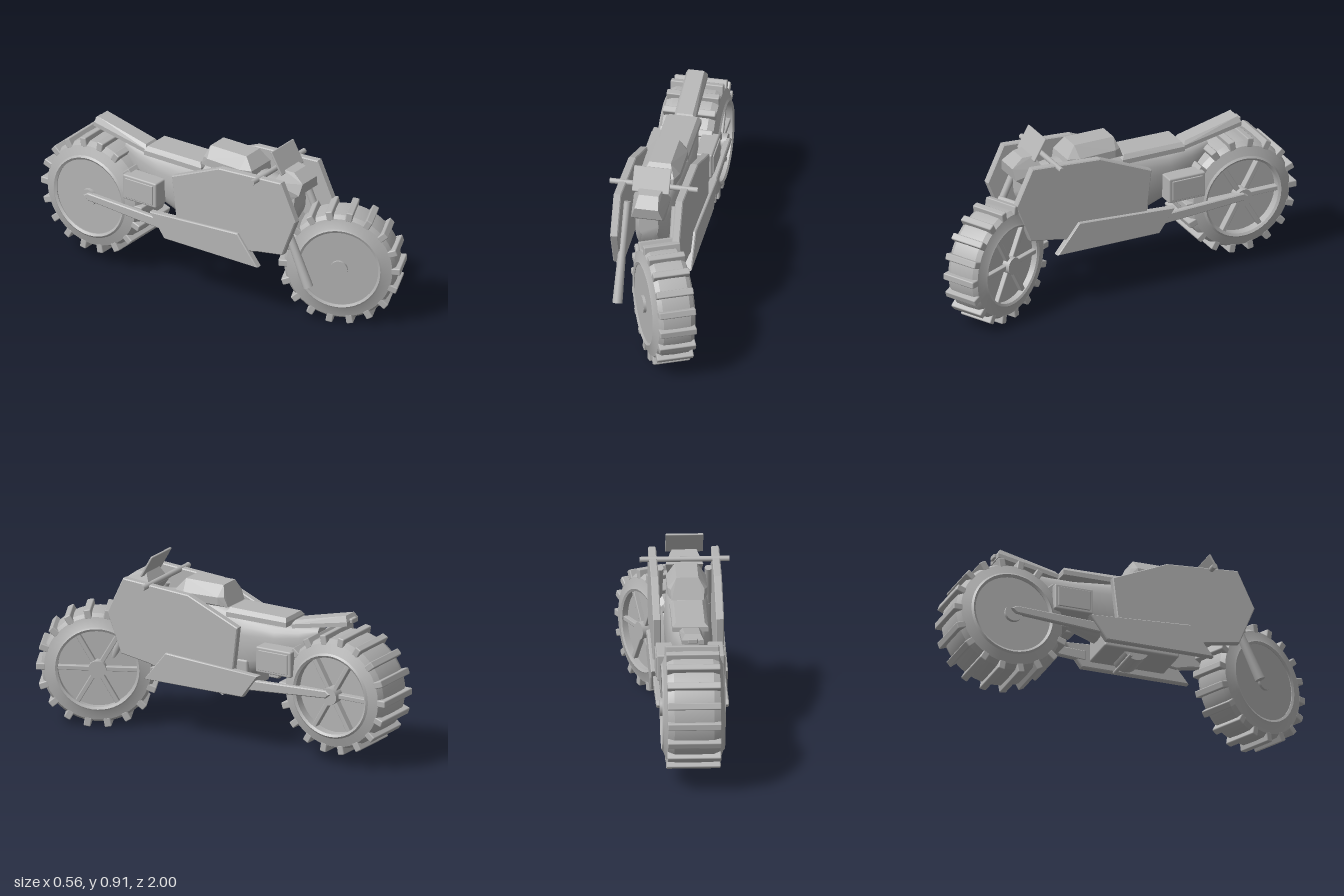
import * as THREE from 'three';
import { toCreasedNormals } from 'three/addons/utils/BufferGeometryUtils.js';
import { RoundedBoxGeometry } from 'three/addons/geometries/RoundedBoxGeometry.js';
import { ConvexGeometry } from 'three/addons/geometries/ConvexGeometry.js';

const V = (x, y, z) => new THREE.Vector3(x, y, z);

export function createModel() {
  const grey = new THREE.MeshStandardMaterial({ color: 0xb4b4b4 });
  const model = new THREE.Group();
  const bike = new THREE.Group();
  bike.name = 'frame';
  bike.position.x = -0.055;
  model.add(bike);

  const add = (parent, name, geo, x = 0, y = 0, z = 0) => {
    const mesh = new THREE.Mesh(geo, grey);
    mesh.name = name;
    mesh.position.set(x, y, z);
    parent.add(mesh);
    return mesh;
  };
  const box = (w, h, d, r = 0.006) => new RoundedBoxGeometry(w, h, d, 1, r);
  const axle = (r, len, sides = 24) => new THREE.CylinderGeometry(r, r, len, sides).rotateZ(-Math.PI / 2);

  // Round bar between two points
  const bar = (name, a, b, r0, r1 = r0) => {
    const dir = b.clone().sub(a);
    const mesh = add(bike, name, new THREE.CylinderGeometry(r1, r0, dir.length(), 16));
    mesh.position.copy(a).add(b).multiplyScalar(0.5);
    mesh.quaternion.setFromUnitVectors(V(0, 1, 0), dir.normalize());
    return mesh;
  };

  // Faceted block from mirrored points [halfWidth, y, z]
  const hull = (name, pts) => add(bike, name,
    new ConvexGeometry(pts.flatMap(([x, y, z]) => [V(x, y, z), V(-x, y, z)])));

  // Flat plate with outline [z, y], extruded across x
  const plate = (name, pts, x, thick) => {
    const bevel = 0.005;
    const shape = new THREE.Shape(pts.map(([z, y]) => new THREE.Vector2(-z, y)));
    const geo = new THREE.ExtrudeGeometry(shape, {
      depth: thick - 2 * bevel, bevelThickness: bevel, bevelSize: bevel, bevelOffset: -bevel, bevelSegments: 1,
    });
    geo.translate(0, 0, bevel - thick / 2).rotateY(Math.PI / 2);
    return add(bike, name, geo, x);
  };

  // Wheel with a knobbly tyre, plain disc on the right, spokes on the left
  const wheel = (name, w) => {
    const g = new THREE.Group();
    g.name = name;
    const profile = [[0.2, -0.15], [0.212, -0.158], [0.222, -0.15], [0.27, -0.132], [0.285, -0.1], [0.288, 0],
      [0.285, 0.1], [0.27, 0.132], [0.222, 0.15], [0.212, 0.158], [0.2, 0.15], [0.2, -0.15]];
    const tyre = new THREE.LatheGeometry(profile.map(([r, y]) => new THREE.Vector2(r, y * w)), 48);
    add(g, 'tyre', toCreasedNormals(tyre.rotateZ(-Math.PI / 2), 0.3));
    add(g, 'wheelDisc', axle(0.2, 0.25 * w, 48), -0.02 * w);
    add(g, 'hub', axle(0.045, 0.33 * w));
    for (let i = 0; i < 18; i++) {
      const a = (i * Math.PI) / 9;
      const knob = add(g, 'tread', box(0.27 * w, 0.05, 0.036),
        0, Math.sin(a) * 0.286, Math.cos(a) * 0.286);
      knob.rotation.x = Math.PI / 2 - a;
    }
    for (let i = 0; i < 6; i++) {
      const a = (i * Math.PI) / 3;
      const spoke = add(g, 'spoke', box(0.04 * w, 0.17, 0.024, 0.004),
        0.12 * w, Math.sin(a) * 0.12, Math.cos(a) * 0.12);
      spoke.rotation.x = Math.PI / 2 - a;
    }
    return g;
  };

  const rear = wheel('rearWheel', 1);
  rear.position.set(0, 0.372, -0.689);
  bike.add(rear);
  const front = wheel('frontWheel', 0.7);
  front.position.set(0.06, 0.306, 0.68);
  front.rotation.y = 0.44;
  model.add(front);

  // Body shell lofted along z from [z, halfWidth, bottom, top]
  const rings = [[0.5, 0.05, 0.56, 0.69], [0.44, 0.08, 0.46, 0.71], [0.3, 0.1, 0.4, 0.73], [0.1, 0.115, 0.34, 0.74],
    [-0.15, 0.105, 0.36, 0.675], [-0.32, 0.09, 0.42, 0.66], [-0.45, 0.065, 0.47, 0.665], [-0.55, 0.04, 0.56, 0.675]];
  const sides = 20, pos = [], idx = [];
  const soft = (t) => Math.sign(t) * Math.abs(t) ** 0.7;
  rings.forEach(([z, w, lo, hi], r) => {
    for (let s = 0; s < sides; s++) {
      const a = (s / sides) * Math.PI * 2;
      pos.push(w * soft(Math.cos(a)), (lo + hi) / 2 + ((hi - lo) / 2) * soft(Math.sin(a)), z);
      const p = r * sides + s, q = r * sides + ((s + 1) % sides);
      if (r < rings.length - 1) idx.push(p, q, p + sides, q, q + sides, p + sides);
    }
  });
  const last = (rings.length - 1) * sides;
  for (let s = 1; s < sides - 1; s++) {
    idx.push(0, s, s + 1, last, last + s + 1, last + s);
  }
  // Loft runs toward -z, so the side quads are flipped to face out
  for (let i = 0; i < (rings.length - 1) * sides * 6; i += 3) {
    [idx[i + 1], idx[i + 2]] = [idx[i + 2], idx[i + 1]];
  }
  const shell = new THREE.BufferGeometry();
  shell.setAttribute('position', new THREE.Float32BufferAttribute(pos, 3));
  shell.setIndex(idx);
  add(bike, 'bodyShell', toCreasedNormals(shell, 0.7));

  // Tank, headlight and seats
  hull('fuelTank', [
    [0.075, 0.7, 0.27], [0.1, 0.72, 0.18], [0.1, 0.72, 0], [0.08, 0.71, -0.05],
    [0.08, 0.755, 0.26], [0.1, 0.755, 0.2], [0.1, 0.76, 0], [0.085, 0.76, -0.03],
    [0.055, 0.815, 0.21], [0.055, 0.815, -0.01],
  ]);
  hull('headlight', [
    [0.06, 0.81, 0.44], [0.095, 0.74, 0.4], [0.08, 0.66, 0.45],
    [0.05, 0.805, 0.5], [0.08, 0.7, 0.55], [0.06, 0.76, 0.56], [0.075, 0.655, 0.49],
  ]);
  hull('seat', [
    [0.09, 0.665, -0.045], [0.09, 0.665, -0.395], [0.09, 0.69, -0.045], [0.09, 0.69, -0.395],
    [0.072, 0.713, -0.06], [0.072, 0.71, -0.385],
  ]);
  hull('rearSeat', [
    [0.055, 0.655, -0.41], [0.055, 0.675, -0.405], [0.04, 0.697, -0.42],
    [0.055, 0.718, -0.73], [0.055, 0.74, -0.73], [0.04, 0.768, -0.715],
  ]);
  add(bike, 'tailLight', box(0.05, 0.025, 0.02), 0, 0.738, -0.733);

  // Windscreen and handlebar
  const screen = add(bike, 'windscreen', box(0.19, 0.13, 0.012, 0.004), 0, 0.848, 0.42);
  screen.rotation.x = -0.52;
  add(bike, 'handlebar', axle(0.014, 0.45, 12), 0, 0.78, 0.365);

  // Engine
  add(bike, 'engineBlock', box(0.22, 0.16, 0.4, 0.01), 0, 0.38, 0.02);
  add(bike, 'sump', axle(0.07, 0.16, 24), 0, 0.332, 0);
  add(bike, 'footPeg', axle(0.01, 0.24, 10), 0, 0.27, -0.04);

  for (const s of [1, -1]) {
    // Fairing panels
    plate('upperPanel', [[0.507, 0.797], [0.126, 0.772], [-0.164, 0.647], [-0.137, 0.42],
      [0.3, 0.36], [0.36, 0.375], [0.517, 0.4], [0.598, 0.604]], s * 0.158, 0.04);
    plate('lowerPanel', [[0.25, 0.45], [-0.29, 0.418], [-0.2, 0.294], [0.373, 0.294]], s * 0.174, 0.038);

    // Fork legs with thicker lower sleeves
    bar('forkTube', V(s * 0.122, 0.71, 0.43), V(s * 0.127, 0.48, 0.535), 0.019);
    bar('forkSleeve', V(s * 0.128, 0.5, 0.525), V(s * 0.13, 0.24, 0.645), 0.02, 0.026);

    // Swing arm and side case
    plate('swingArm', [[-0.18, 0.385], [-0.68, 0.405], [-0.705, 0.388], [-0.68, 0.366], [-0.18, 0.33]], s * 0.167, 0.03);
    add(bike, 'sideCase', box(0.09, 0.135, 0.205, 0.008), s * 0.125, 0.5, -0.368);
    add(bike, 'sideCaseLid', box(0.01, 0.105, 0.17, 0.003), s * 0.171, 0.5, -0.368);
  }
  return model;
}
